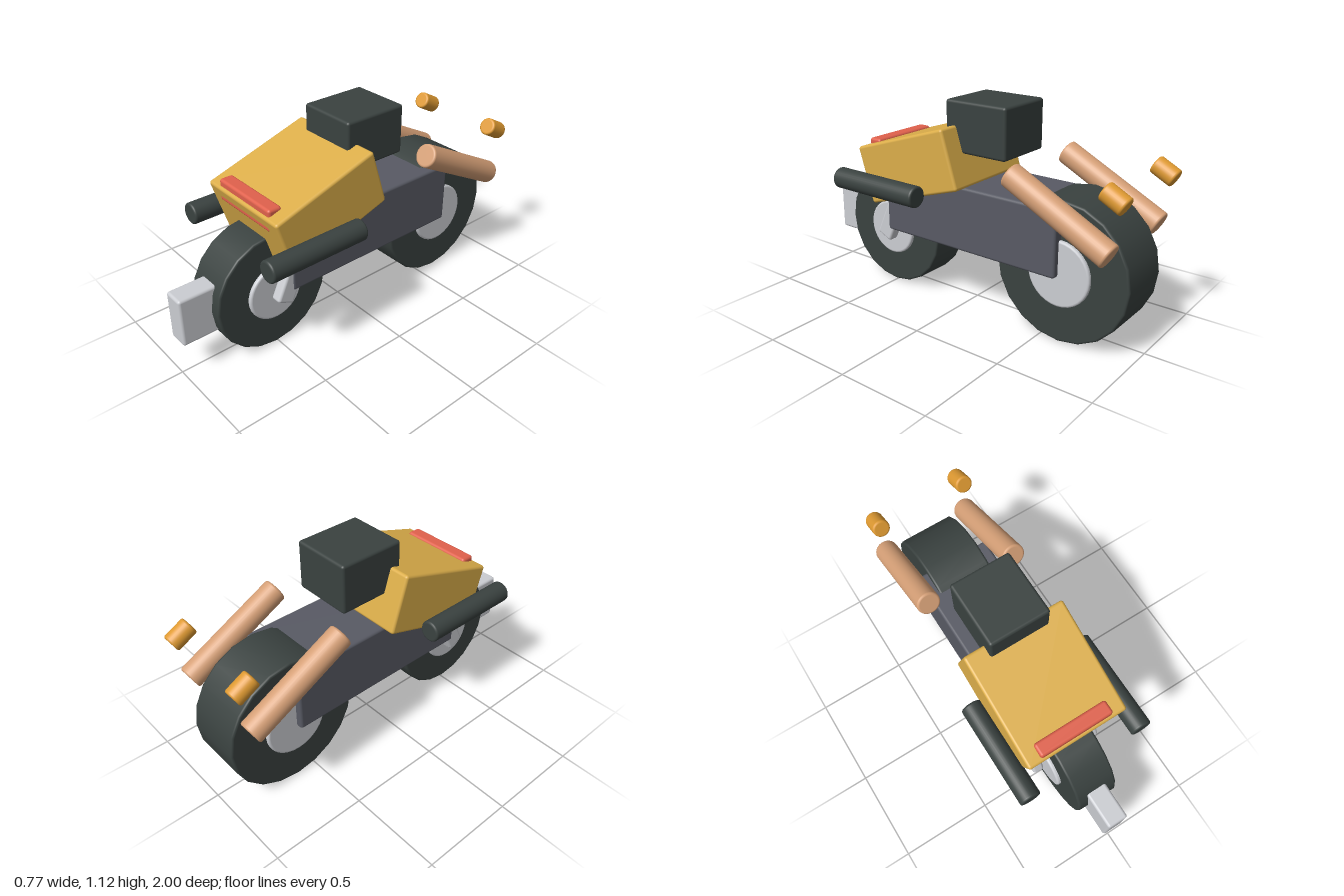
import * as THREE from 'three';
import { RoundedBoxGeometry } from 'three/addons/geometries/RoundedBoxGeometry.js';

function material(name, color) {
  const m = new THREE.MeshStandardMaterial({ color });
  m.name = name;
  return m;
}

// Cylinder along y with a small rounded rim
function roundedCylinder(radius, length, sides, bevel = 0.01) {
  const h = length / 2, e = 0.002, points = [[0, -h], [radius - bevel - e, -h]];
  for (let i = 0; i <= 3; i++) {
    const a = (i / 3) * Math.PI / 2;
    points.push([radius - bevel + bevel * Math.sin(a), -h + bevel - bevel * Math.cos(a)]);
  }
  points.push([radius, -h + bevel + e]);
  const mirrored = points.map(([r, y]) => [r, -y]).reverse();
  return new THREE.LatheGeometry([...points, ...mirrored].map(([r, y]) => new THREE.Vector2(r, y)), sides);
}

export function createModel() {
  const model = new THREE.Group();
  model.name = 'motorbike';
  const rubber = material('charcoal', 0x3a4240);
  const yellow = material('mustard yellow', 0xdcae4a);
  const slate = material('slate grey', 0x585a64);
  const silver = material('light grey', 0xcbcdd2);
  const tan = material('tan', 0xd6a077);
  const red = material('coral red', 0xe0614c);
  const amber = material('amber', 0xdf9a32);

  function add(name, geometry, mat, x, y, z) {
    const mesh = new THREE.Mesh(geometry, mat);
    mesh.name = name;
    mesh.position.set(x, y, z);
    model.add(mesh);
    return mesh;
  }
  const box = (w, h, d, r = 0.015) => new RoundedBoxGeometry(w, h, d, 3, r);

  // Wheels with slightly protruding hubs
  for (const [name, y, z, r, width, hubR, hubWidth] of [
    ['front', 0.33, 0.51, 0.325, 0.23, 0.153, 0.27],
    ['rear', 0.37, -0.61, 0.365, 0.31, 0.17, 0.35],
  ]) {
    add(name + 'Tyre', roundedCylinder(r, width, 20), rubber, 0, y, z).rotation.z = Math.PI / 2;
    add(name + 'Hub', roundedCylinder(hubR, hubWidth, 32), silver, 0, y, z).rotation.z = Math.PI / 2;
  }

  // Body, tilted fairing and seat
  add('body', box(0.42, 0.345, 1.07), slate, 0, 0.527, -0.075);
  add('fairing', box(0.56, 0.315, 0.613), yellow, 0, 0.757, 0.256).rotation.x = 0.306;
  add('seat', box(0.33, 0.265, 0.365), rubber, 0, 0.99, -0.108);

  // Light bar piercing the fairing's front edge
  add('lightBar', box(0.41, 0.118, 0.076), red, 0, 0.796, 0.541);

  // Block ahead of the front wheel
  add('noseBlock', box(0.115, 0.265, 0.28), silver, 0, 0.333, 0.86);

  // Paired parts on both sides
  for (const [side, s] of [['left', 1], ['right', -1]]) {
    add(side + 'Fork', box(0.062, 0.42, 0.1), silver, s * 0.175, 0.49, 0.418).rotation.x = -0.43;
    add(side + 'Grip', roundedCylinder(0.057, 0.56, 32), rubber, s * 0.329, 0.64, 0.41).rotation.x = Math.PI / 2;
    add(side + 'Exhaust', roundedCylinder(0.063, 0.602, 32), tan, s * 0.252, 0.704, -0.648).rotation.x = Math.PI / 2 - 0.475;
    add(side + 'Indicator', roundedCylinder(0.047, 0.122, 32), amber, s * 0.25, 0.835, -0.923).rotation.x = Math.PI / 2 - 0.49;
  }
  return model;
}
